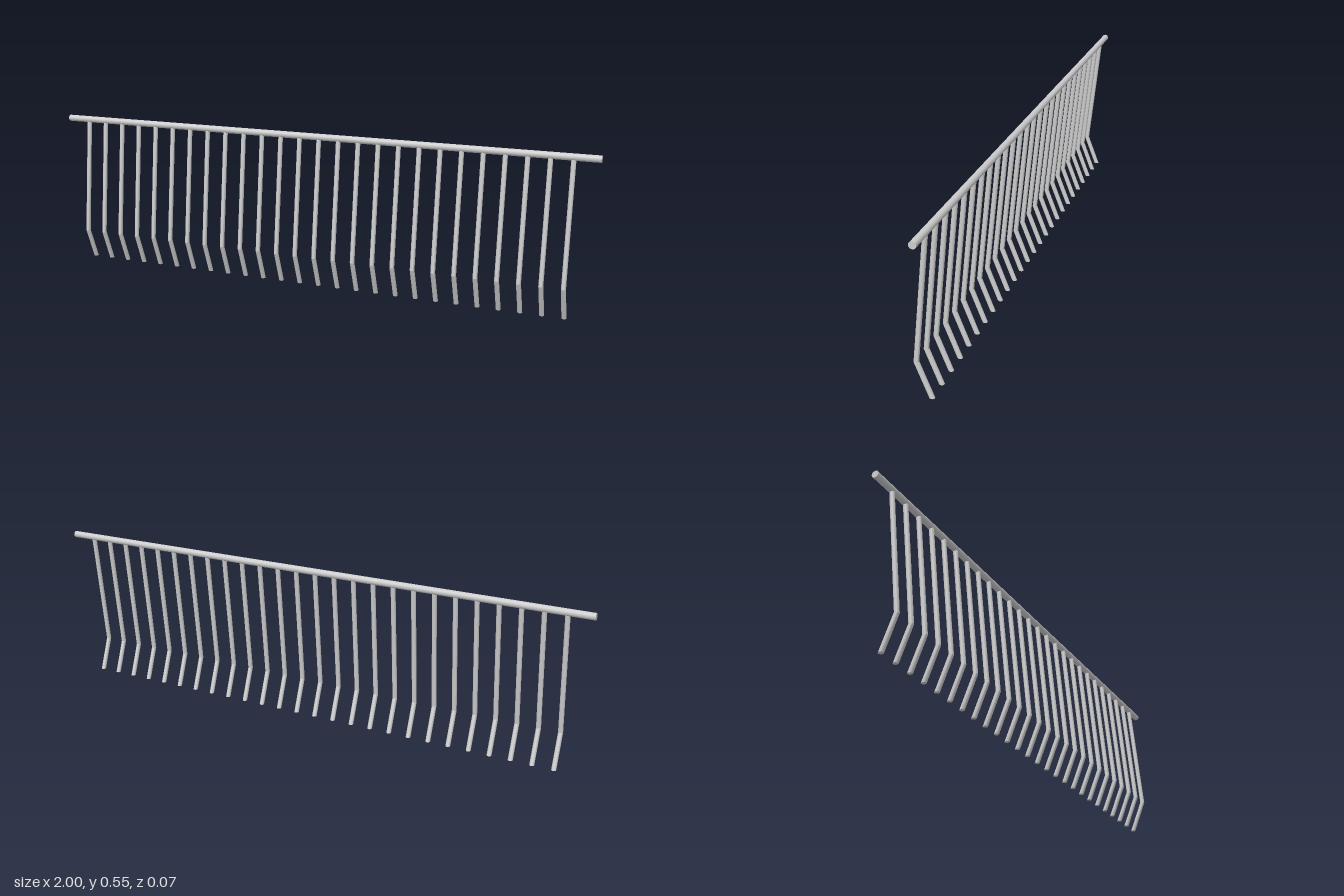
import * as THREE from 'three';
import { toCreasedNormals } from 'three/addons/utils/BufferGeometryUtils.js';

const BARS = 26, BAR_SPAN = 0.913, BAR_R = 0.0082;
const RAIL_R = 0.0117, RAIL_Y = 0.541, RAIL_Z = -0.0205;

// Bent bar: a cylinder with three rings laid along a kinked path, mitred at the bend
function barGeometry() {
  const foot = new THREE.Vector3(0, 0, -0.02);
  const bend = new THREE.Vector3(0, 0.115, 0.025);
  const top = new THREE.Vector3(0, RAIL_Y, RAIL_Z);
  const lower = bend.clone().sub(foot).normalize();
  const upper = top.clone().sub(bend).normalize();
  // Each ring: centre, bar direction, normal of the plane that cuts it
  const rings = [
    { c: foot, d: lower, n: new THREE.Vector3(0, 1, 0) },
    { c: bend, d: lower, n: lower.clone().add(upper).normalize() },
    { c: top, d: upper, n: upper },
  ];
  const geo = new THREE.CylinderGeometry(BAR_R, BAR_R, 2, 20, 2);
  const pos = geo.attributes.position;
  const p = new THREE.Vector3();
  for (let i = 0; i < pos.count; i++) {
    const { c, d, n } = rings[Math.round(pos.getY(i) + 1)];
    const z = pos.getZ(i);
    p.set(pos.getX(i), -z * d.z, z * d.y); // offset square to the bar
    p.addScaledVector(d, -p.dot(n) / d.dot(n)).add(c); // slide onto the cut plane
    pos.setXYZ(i, p.x, p.y, p.z);
  }
  return toCreasedNormals(geo, 0.4);
}

export function createModel() {
  const model = new THREE.Group();
  model.name = 'barRack';
  const grey = new THREE.MeshStandardMaterial({ color: 0xcccccc });

  // Top rail
  const railGeo = new THREE.CylinderGeometry(RAIL_R, RAIL_R, 2, 32);
  railGeo.rotateZ(Math.PI / 2);
  const rail = new THREE.Mesh(railGeo, grey);
  rail.name = 'topRail';
  rail.position.set(0, RAIL_Y, RAIL_Z);
  model.add(rail);

  // Evenly spaced hanging bars
  const bars = new THREE.Group();
  bars.name = 'bars';
  const geo = barGeometry();
  for (let i = 0; i < BARS; i++) {
    const bar = new THREE.Mesh(geo, grey);
    bar.name = `bar${i + 1}`;
    bar.position.x = -BAR_SPAN + (2 * BAR_SPAN * i) / (BARS - 1);
    bars.add(bar);
  }
  model.add(bars);
  return model;
}
